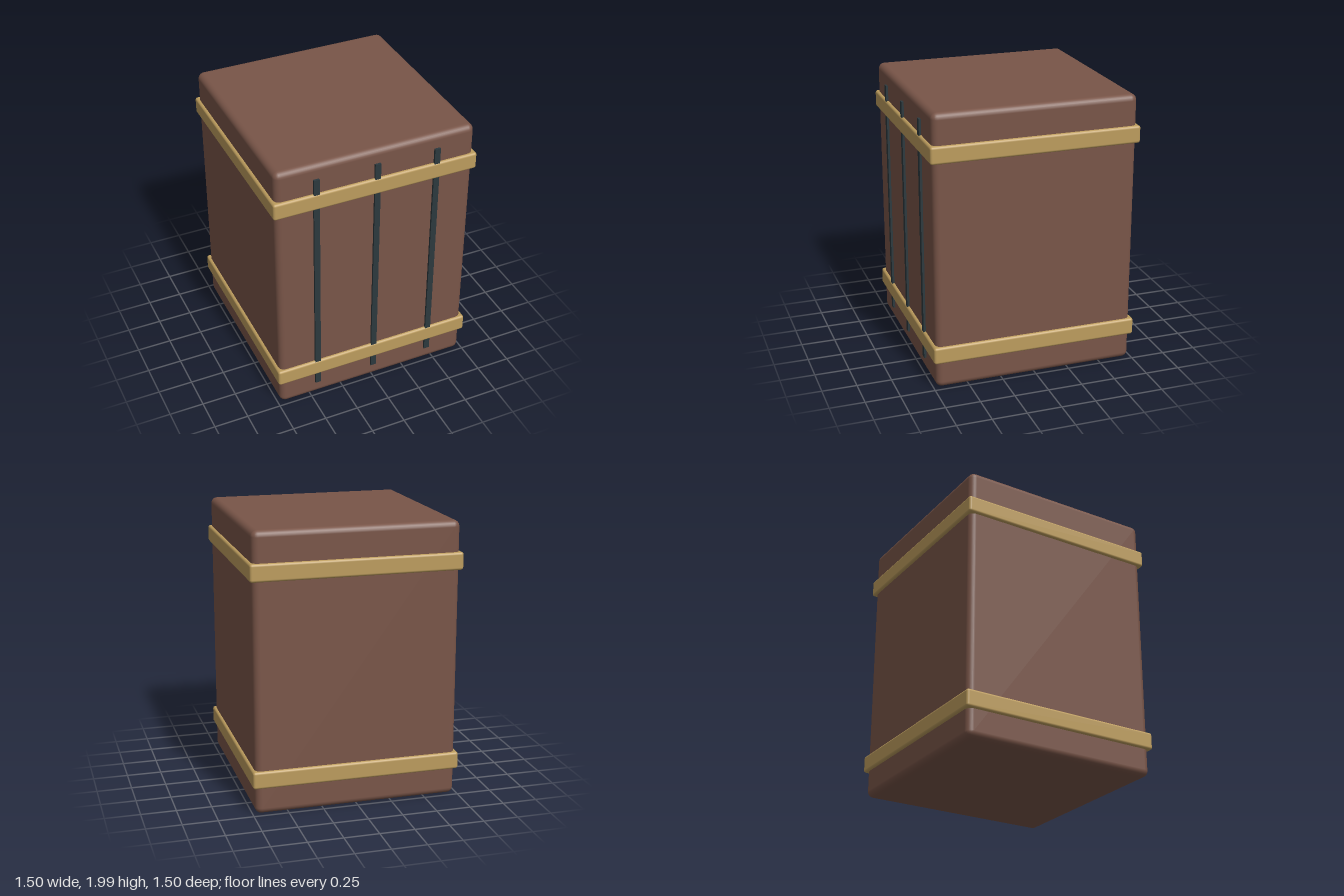
import * as THREE from 'three';
import { RoundedBoxGeometry } from 'three/addons/geometries/RoundedBoxGeometry.js';

export function createModel() {
  const group = new THREE.Group();
  const brown = new THREE.MeshStandardMaterial({ color: 0x795548 });
  const brass = new THREE.MeshStandardMaterial({ color: 0xbc9c5d });
  const dark = new THREE.MeshStandardMaterial({ color: 0x2c393e });

  const add = (name, geometry, material, x, y, z) => {
    const mesh = new THREE.Mesh(geometry, material);
    mesh.name = name;
    mesh.position.set(x, y, z);
    group.add(mesh);
  };

  // Crate body with softened edges
  add('body', new RoundedBoxGeometry(1.46, 1.995, 1.46, 3, 0.045), brown, 0, 1.0, 0);

  // Straps wrapping all four sides
  const strap = new RoundedBoxGeometry(1.5, 0.125, 1.5, 3, 0.018);
  add('lowerBand', strap, brass, 0, 0.26, 0);
  add('upperBand', strap, brass, 0, 1.717, 0);

  // Thin upright slats on the front, passing under the straps
  const slat = new THREE.BoxGeometry(0.042, 1.775, 0.03);
  ['rightSlat', 'middleSlat', 'leftSlat'].forEach((name, i) => {
    add(name, slat, dark, (i - 1) * 0.443, 1.003, 0.731);
  });

  return group;
}
